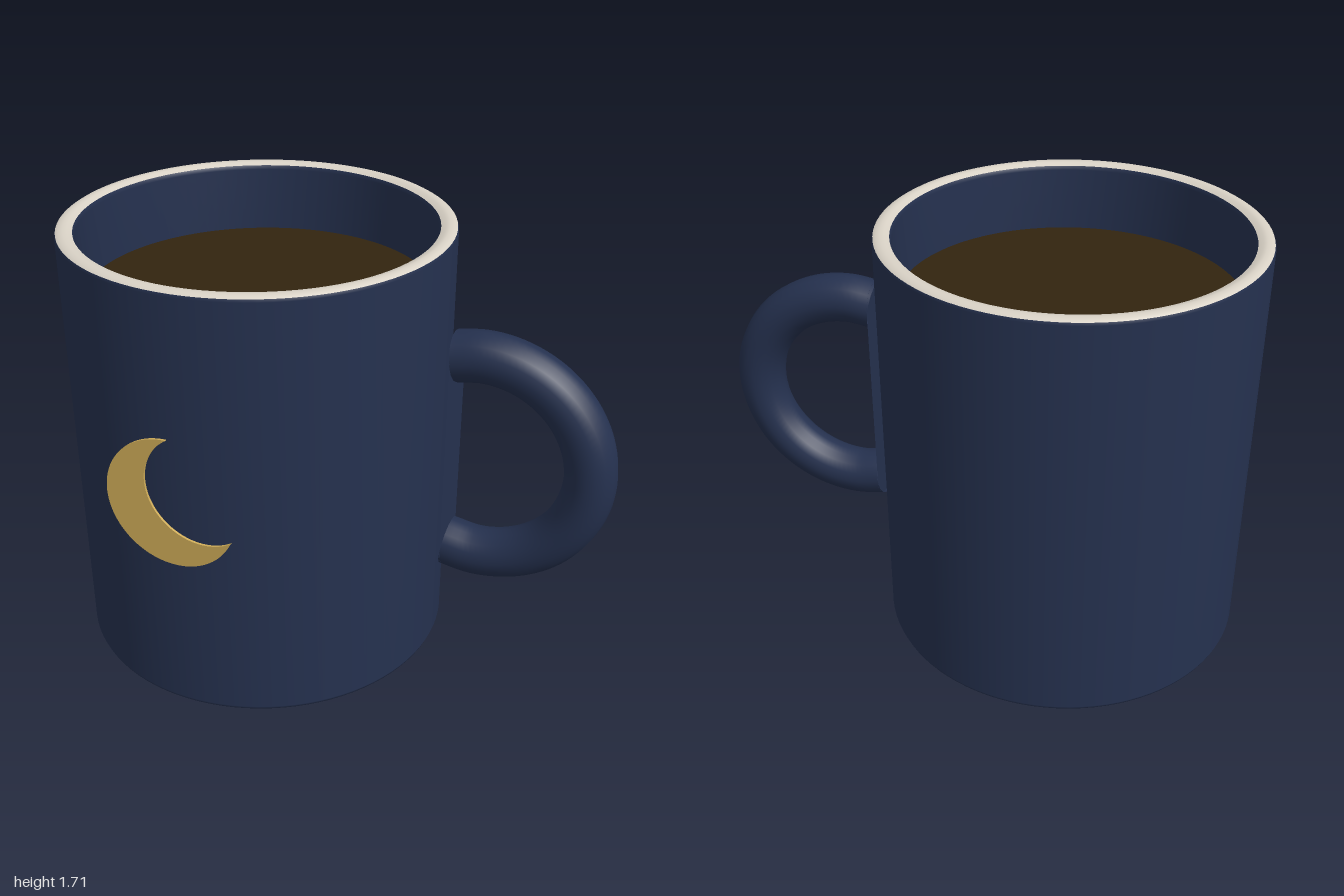
import * as THREE from 'three';

const material = (name, color, side = THREE.FrontSide) => {
  const m = new THREE.MeshStandardMaterial({ color, side });
  m.name = name;
  return m;
};

export function createModel() {
  const navy = material('navy glaze', 0x25314f, THREE.DoubleSide);
  const cream = material('cream rim', 0xd9d2c6);
  const brown = material('dark coffee', 0x32240f);
  const gold = material('gold', 0xd0ad59);

  const mug = new THREE.Group();
  mug.name = 'mug';
  mug.position.set(-0.263, 0, -0.018);
  mug.rotation.y = -0.49; // handle swings towards the front

  const add = (name, geometry, mat, parent = mug) => {
    const mesh = new THREE.Mesh(geometry, mat);
    mesh.name = name;
    parent.add(mesh);
    return mesh;
  };
  const lathe = (points) =>
    new THREE.LatheGeometry(points.map(([r, y]) => new THREE.Vector2(r, y)), 96);

  // Body: floor, small bevel, straight outer wall, bevelled top edge
  add('outerWall', lathe([[0, 0], [0.718, 0], [0.731, 0.006], [0.737, 0.02], [0.737, 1.692], [0.733, 1.702]]), navy);
  // Softly rounded rim
  add('rim', lathe([[0.733, 1.702], [0.722, 1.709], [0.705, 1.711], [0.69, 1.709], [0.672, 1.7]]), cream);
  add('innerWall', lathe([[0.672, 1.7], [0.665, 1.685], [0.665, 1.4]]), navy);
  // Liquid with a very slight swell
  add('coffee', lathe([[0.666, 1.43], [0.5, 1.437], [0.25, 1.443], [0, 1.445]]), brown);

  // Handle: round tube following slightly more than half a circle
  const handle = new THREE.Group();
  handle.name = 'handle';
  mug.add(handle);
  const midY = 0.902, bend = 0.415, tube = 0.097, startX = 0.79;
  const path = [];
  const reach = Math.PI / 2 + Math.asin(0.11 / bend);
  for (let i = 0; i <= 14; i++) {
    const a = reach * (1 - i / 7);
    path.push(new THREE.Vector3(0.9 + bend * Math.cos(a), midY + bend * Math.sin(a), 0));
  }
  add('handleLoop', new THREE.TubeGeometry(new THREE.CatmullRomCurve3(path), 64, tube, 16), navy, handle);

  // Flat strip joining and closing the two handle ends
  const strip = new THREE.Shape();
  const half = bend * Math.sin(reach);
  strip.absarc(0, half, tube, 0, Math.PI, false);
  strip.absarc(0, -half, tube, Math.PI, Math.PI * 2, false);
  const plate = add('handleBackStrip', new THREE.ShapeGeometry(strip, 12), navy, handle);
  plate.position.set(startX, midY, 0);
  plate.rotation.y = -Math.PI / 2;

  // Crescent plate: big arc out, smaller offset arc back
  const crescent = new THREE.Shape();
  crescent.absarc(0, 0, 0.256, Math.PI / 2, Math.PI * 2 - 0.42, false);
  crescent.absarc(0.117, 0.075, 0.215, -0.985, 2.14, true);
  const moon = add('crescentMoon', new THREE.ExtrudeGeometry(crescent, {
    depth: 0.009, bevelEnabled: false, curveSegments: 40,
  }), gold);
  moon.position.set(0, 0.905, 0.739);

  const model = new THREE.Group();
  model.name = 'model';
  model.add(mug);
  return model;
}
